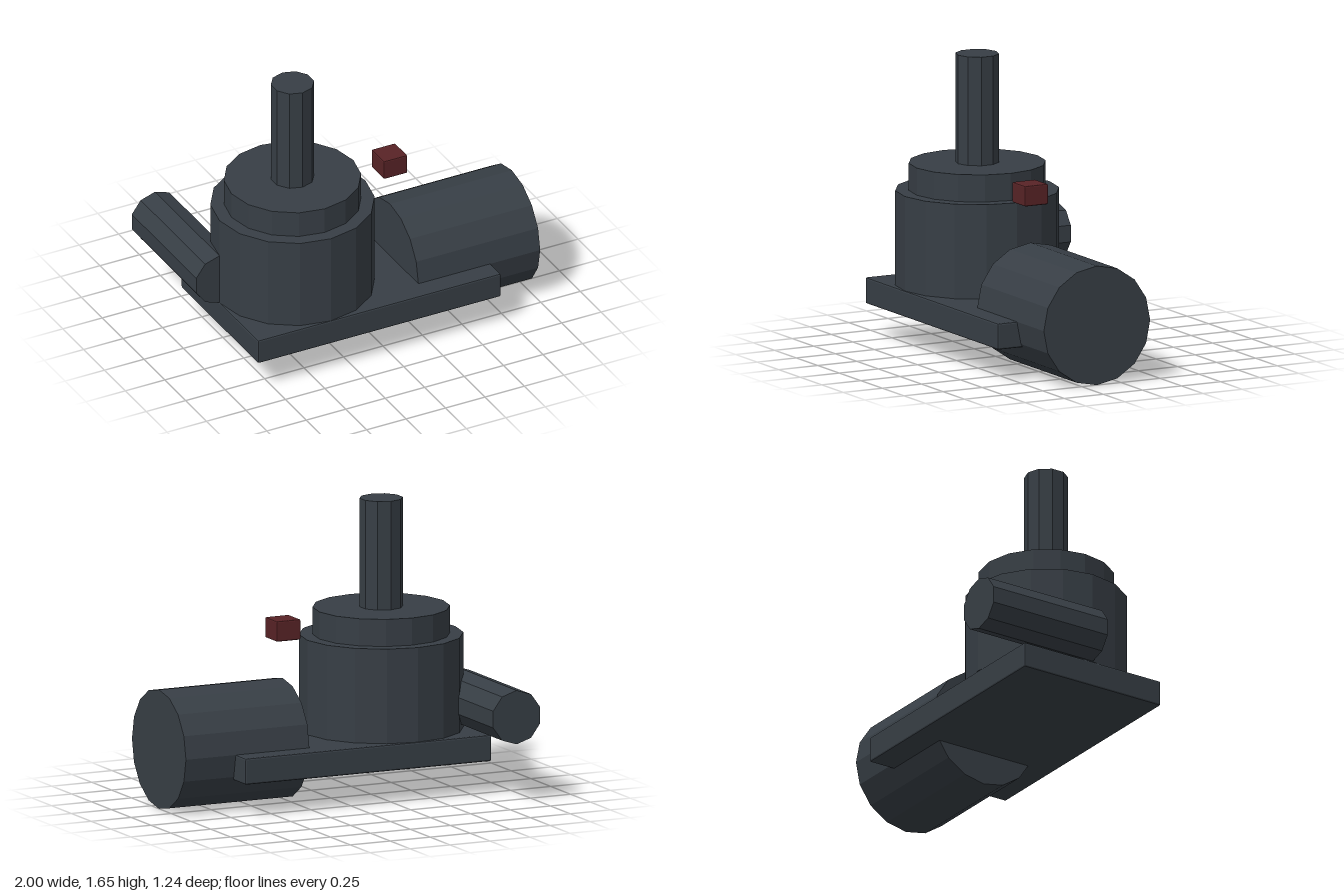
import * as THREE from 'three';
import { RoundedBoxGeometry } from 'three/addons/geometries/RoundedBoxGeometry.js';

export function createModel() {
  const model = new THREE.Group();
  model.name = 'pumpUnit';

  const darkSteel = new THREE.MeshStandardMaterial({ color: 0x373e45, flatShading: true });
  darkSteel.name = 'dark steel';
  const deepRed = new THREE.MeshStandardMaterial({ color: 0x582326, flatShading: true });
  deepRed.name = 'deep red';

  const CZ = 0.153; // shared centre line in depth

  function add(name, geometry, material, x, y, z) {
    const mesh = new THREE.Mesh(geometry, material);
    mesh.name = name;
    mesh.position.set(x, y, z);
    model.add(mesh);
    return mesh;
  }
  const drum = (r, length, sides) => new THREE.CylinderGeometry(r, r, length, sides);

  // Base plate with slightly softened edges
  add('basePlate', new RoundedBoxGeometry(1.54, 0.15, 0.924, 1, 0.01), darkSteel, -0.082, 0.265, CZ);

  // Stacked upright drums: housing, cap and shaft
  const stack = [
    ['housing', 0.462, 0.34, 0.88, 16],
    ['housingCap', 0.386, 0.88, 1.035, 16],
    ['shaft', 0.123, 1.035, 1.655, 10],
  ];
  for (const [name, r, y0, y1, sides] of stack) {
    add(name, drum(r, y1 - y0, sides), darkSteel, -0.39, (y0 + y1) / 2, CZ);
  }

  // Motor lying sideways through the plate
  add('motor', drum(0.34, 0.772, 16), darkSteel, 0.614, 0.34, CZ).rotation.z = Math.PI / 2;

  // Outlet pipe running to the back
  add('outletPipe', drum(0.154, 0.774, 10), darkSteel, -0.853, 0.496, -0.233).rotation.x = Math.PI / 2;

  // Small floating red block
  add('redBlock', new RoundedBoxGeometry(0.15, 0.117, 0.15, 1, 0.008), deepRed, 0.225, 0.962, CZ);

  return model;
}
